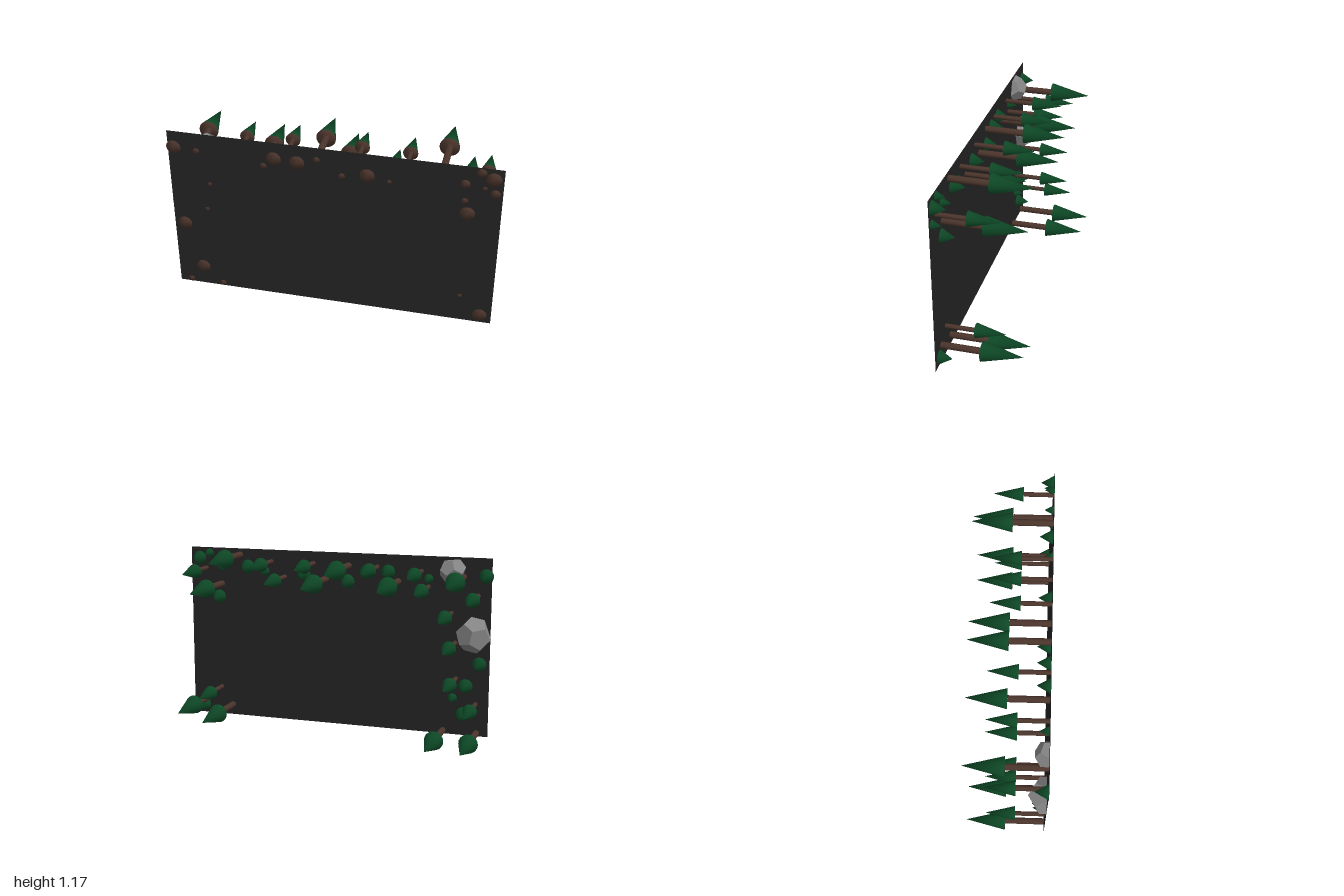
import * as THREE from 'three';
import { mergeVertices } from 'three/addons/utils/BufferGeometryUtils.js';

const PLATE_Z = 0.246;

const darkGround = new THREE.MeshStandardMaterial({ color: 0x222222, side: THREE.DoubleSide });
const pineGreen = new THREE.MeshStandardMaterial({ color: 0x0e4a27 });
const barkBrown = new THREE.MeshStandardMaterial({ color: 0x4a342b });
const rockGrey = new THREE.MeshStandardMaterial({ color: 0x858585, flatShading: true });

// Weld a solid so its shading runs smoothly over the rim, and point it to the back
function weld(geometry, height) {
  geometry.deleteAttribute('uv');
  geometry.deleteAttribute('normal');
  const welded = mergeVertices(geometry, 1e-5);
  welded.computeVertexNormals();
  welded.translate(0, height / 2, 0);
  welded.rotateX(-Math.PI / 2);
  return welded;
}
const cone = (r, h) => weld(new THREE.ConeGeometry(r, h, 20), h);
const rod = (r, h) => weld(new THREE.CylinderGeometry(r, r, h, 16), h);

// Green sides, brown underside
const foliageMaterials = [pineGreen, pineGreen, barkBrown];

function add(parent, name, geometry, material, x, y, z) {
  const mesh = new THREE.Mesh(geometry, material);
  mesh.name = name;
  mesh.position.set(x, y, z);
  parent.add(mesh);
}

// Foot of a plant: just in front of the plate when its base shows, else just behind
const footZ = (shown) => PLATE_Z + (shown ? 0.001 : -0.001);

// Each plant is [x, y, base shows on the front]
const tallTrees = [
  [-0.92, 0.065, 1], [-0.708, 0.065, 1], [-0.818, 1.04, 1], [-0.407, 0.995, 1], [-0.085, 1.08, 1],
  [0.064, 0.99, 1], [0.653, 1.12, 0], [0.785, 0.925, 1], [0.72, 0.113, 0], [0.888, 0.158, 0],
];
const smallTrees = [
  [-0.747, 0.815, 1], [-0.775, 0.63, 1], [0.345, 0.99, 1], [0.893, 1.025, 1], [0.798, 0.23, 1],
  [0.435, 1.085, 0], [0.148, 1.085, 0], [-0.272, 1.08, 0], [-0.555, 1.065, 0], [-0.6, 0.97, 0],
  [-0.912, 0.93, 0], [-0.785, 0.405, 0], [-0.912, 0.25, 0],
];
const bushes = [
  [-0.957, 1.05, 1], [-0.342, 1.052, 1], [-0.202, 1.045, 1], [0.215, 1.015, 1], [0.94, 1.09, 1],
  [0.805, 0.84, 1], [-0.928, 0.503, 1], [-0.832, 0.18, 1], [0.928, 0.1, 1],
  [-0.078, 0.98, 0], [0.6, 1.045, 0], [-0.845, 0.36, 0],
];
const shrubs = [
  [0.87, 1.125, 1], [0.955, 0.995, 1], [0.782, 1.04, 1],
  [-0.6, 1.02, 0], [0.48, 1.02, 0], [-0.765, 0.28, 0],
];

function plantTrees(root, name, list, trunkR, trunkLength, crownR, crownLength) {
  const trunk = rod(trunkR, trunkLength);
  const crown = cone(crownR, crownLength);
  for (const [x, y, shown] of list) {
    const tree = new THREE.Group();
    tree.name = name;
    add(tree, 'trunk', trunk, barkBrown, x, y, footZ(shown));
    add(tree, 'crown', crown, foliageMaterials, x, y, PLATE_Z - trunkLength);
    root.add(tree);
  }
}

function plantBushes(root, name, list, r, h) {
  const geometry = cone(r, h);
  for (const [x, y, shown] of list) add(root, name, geometry, foliageMaterials, x, y, footZ(shown));
}

// Faceted boulder, flattened where it rests on the plate
function rock(r, turn) {
  const geometry = new THREE.DodecahedronGeometry(r);
  geometry.rotateZ(turn);
  const p = geometry.attributes.position;
  for (let i = 0; i < p.count; i++) p.setZ(i, Math.min(p.getZ(i), 0));
  geometry.computeVertexNormals();
  return geometry;
}

export function createModel() {
  const model = new THREE.Group();
  model.name = 'forestPanel';

  // Ground plate, standing upright
  add(model, 'groundPlate', new THREE.PlaneGeometry(1.99, 1.115), darkGround, 0.003, 0.603, PLATE_Z);

  // Trees growing backwards from the plate
  plantTrees(model, 'tallTree', tallTrees, 0.02, 0.246, 0.06, 0.244);
  plantTrees(model, 'smallTree', smallTrees, 0.014, 0.184, 0.045, 0.183);

  // Low cones on the plate
  plantBushes(model, 'bush', bushes, 0.045, 0.081);
  plantBushes(model, 'shrub', shrubs, 0.029, 0.058);

  // Boulders
  add(model, 'largeRock', rock(0.115, 0.2), rockGrey, -0.892, 0.685, PLATE_Z - 0.002);
  add(model, 'smallRock', rock(0.085, 0.9), rockGrey, -0.75, 1.075, PLATE_Z - 0.002);

  return model;
}
